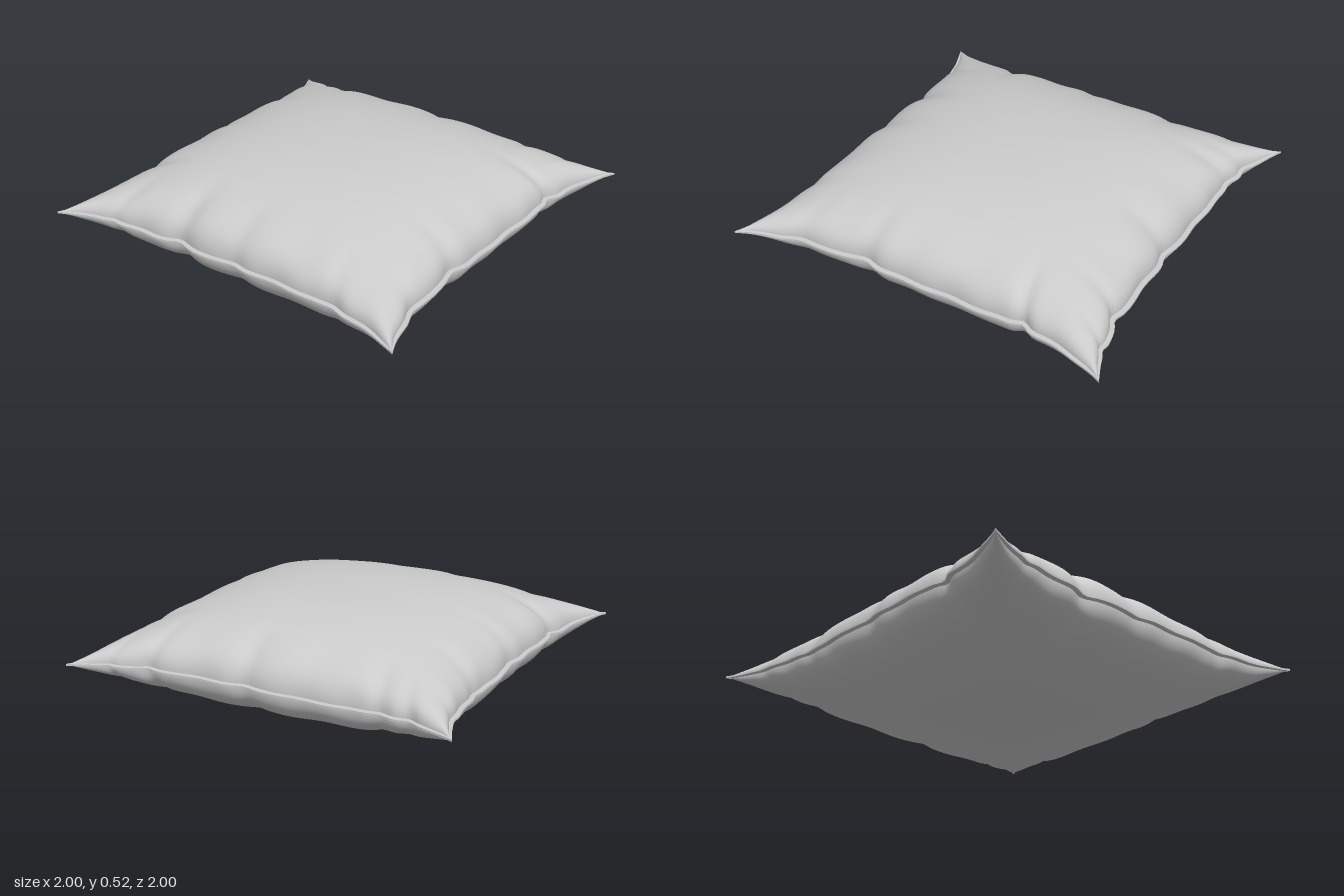
import * as THREE from 'three';
import { toCreasedNormals } from 'three/addons/utils/BufferGeometryUtils.js';

const N = 100;       // grid divisions across the cushion
const SEAM = 0.23;   // height of the seam

// Gathered spots along each side (+x, -x, +z, -z): [position, depth, width]
const GATHERS = [
  [[-0.75, 0.015, 0.04], [-0.6, 0.02, 0.05], [0.1, 0.015, 0.05], [0.62, 0.02, 0.04], [0.82, 0.015, 0.03]],
  [[-0.72, 0.015, 0.04], [-0.33, 0.025, 0.06], [0.02, 0.01, 0.05], [0.6, 0.012, 0.05]],
  [[-0.7, 0.012, 0.06], [-0.32, 0.022, 0.06], [0.1, 0.006, 0.1], [0.54, 0.03, 0.04]],
  [[-0.53, 0.025, 0.04], [0, 0.015, 0.06], [0.47, 0.014, 0.05], [0.8, 0.012, 0.05]],
];

const gather = (side, s) =>
  GATHERS[side].reduce((sum, [p, d, w]) => sum + d * Math.exp(-(((s - p) / w) ** 2)), 0);

// Distance of a side from the centre: full at the corners, drawn in between
function reach(a, s, axis, out) {
  const side = axis * 2 + (a > 0 ? 0 : 1);
  const k = Math.abs(s);
  const drawnIn = 0.115 * (1 - k ** 4.2);
  const lip = (1 - out) * (0.006 + 0.018 * (1 - k ** 8));
  const ripple = (gather(side, s) + 0.004 * Math.sin(23 * s + side * 2)) * (1 - k ** 10);
  return 1 - drawnIn - (lip + ripple) * Math.abs(a) ** 12;
}

// Plan position; out = 0 on the stuffed body, 1 on the outer rim
const plan = (u, v, out) => [u * reach(u, v, 0, out), v * reach(v, u, 1, out)];

const seamY = (u, v) =>
  SEAM + 0.005 * Math.sin(6 * u + 4 * v) * (1 - Math.abs(u * v) ** 4);

// Soft creases running inward from the gathered spots
function crease(a, s, axis) {
  const side = axis * 2 + (a > 0 ? 0 : 1);
  const fade = Math.exp(-(((1 - Math.abs(a)) / 0.2) ** 2)) * (1 - s ** 4);
  return fade * (7 * gather(side, s) + 0.04 * Math.sin(17 * s + side * 1.7));
}

function gridGeometry(cols, rows, point, flip = false) {
  const pos = [], index = [];
  for (let i = 0; i <= cols; i++) {
    for (let j = 0; j <= rows; j++) pos.push(...point(i, j));
  }
  for (let i = 0; i < cols; i++) {
    for (let j = 0; j < rows; j++) {
      const a = i * (rows + 1) + j, b = a + 1, c = a + rows + 1, d = c + 1;
      if (flip) index.push(a, c, b, b, c, d);
      else index.push(a, b, c, b, d, c);
    }
  }
  const geo = new THREE.BufferGeometry();
  geo.setAttribute('position', new THREE.Float32BufferAttribute(pos, 3));
  geo.setIndex(index);
  geo.computeVertexNormals();
  return geo;
}

// Grid lines crowd towards the seam, where the cloth turns steeply
const spread = (i) => (i === 0 ? -1 : i === N ? 1 : Math.sin((i / N - 0.5) * Math.PI));

// One stuffed face of the cushion, dir = 1 for the top, -1 for the underside
function faceGeometry(dir, height, power) {
  const dome = (a) => Math.max(0, 1 - Math.abs(a) ** power) ** 0.47;
  return gridGeometry(N, N, (i, j) => {
    const u = spread(i), v = spread(j);
    const [x, z] = plan(u, v, 0);
    const puff = height * dome(u) * dome(v) * (1 - crease(u, v, 0) - crease(v, u, 1));
    const swell = Math.min(Math.abs(u), Math.abs(v)) ** 2;
    const y = seamY(u, v) * swell + SEAM * (1 - swell);
    const edge = Math.max(Math.abs(u), Math.abs(v)) ** 12;
    return [x, y + (seamY(u, v) - y) * edge + dir * puff, z];
  }, dir < 0);
}

// Flat sewn rim running round the whole seam
function rimGeometry() {
  const t = 0.007;
  const section = [[0, t], [1, t * 0.7], [1, -t * 0.7], [0, -t]];
  const corner = [[1, 1], [1, -1], [-1, -1], [-1, 1], [1, 1]];
  const geo = gridGeometry(4 * N, 3, (i, j) => {
    const k = Math.min(3, Math.floor(i / N));
    const f = (spread(i - k * N) + 1) / 2;
    const u = corner[k][0] + (corner[k + 1][0] - corner[k][0]) * f;
    const v = corner[k][1] + (corner[k + 1][1] - corner[k][1]) * f;
    const [x, z] = plan(u, v, section[j][0]);
    return [x, seamY(u, v) + section[j][1], z];
  });
  return toCreasedNormals(geo, 0.7);
}

export function createModel() {
  const group = new THREE.Group();
  group.name = 'cushion';
  const cloth = new THREE.MeshStandardMaterial({ color: 0xcccccc, side: THREE.DoubleSide });
  const add = (name, geometry) => {
    const mesh = new THREE.Mesh(geometry, cloth);
    mesh.name = name;
    group.add(mesh);
  };
  add('topFace', faceGeometry(1, 0.293, 2.3));
  add('undersideFace', faceGeometry(-1, 0.226, 3));
  add('seamRim', rimGeometry());

  // Rest the cushion on the ground
  const box = new THREE.Box3().setFromObject(group);
  group.children.forEach((mesh) => mesh.geometry.translate(0, -box.min.y, 0));
  return group;
}
